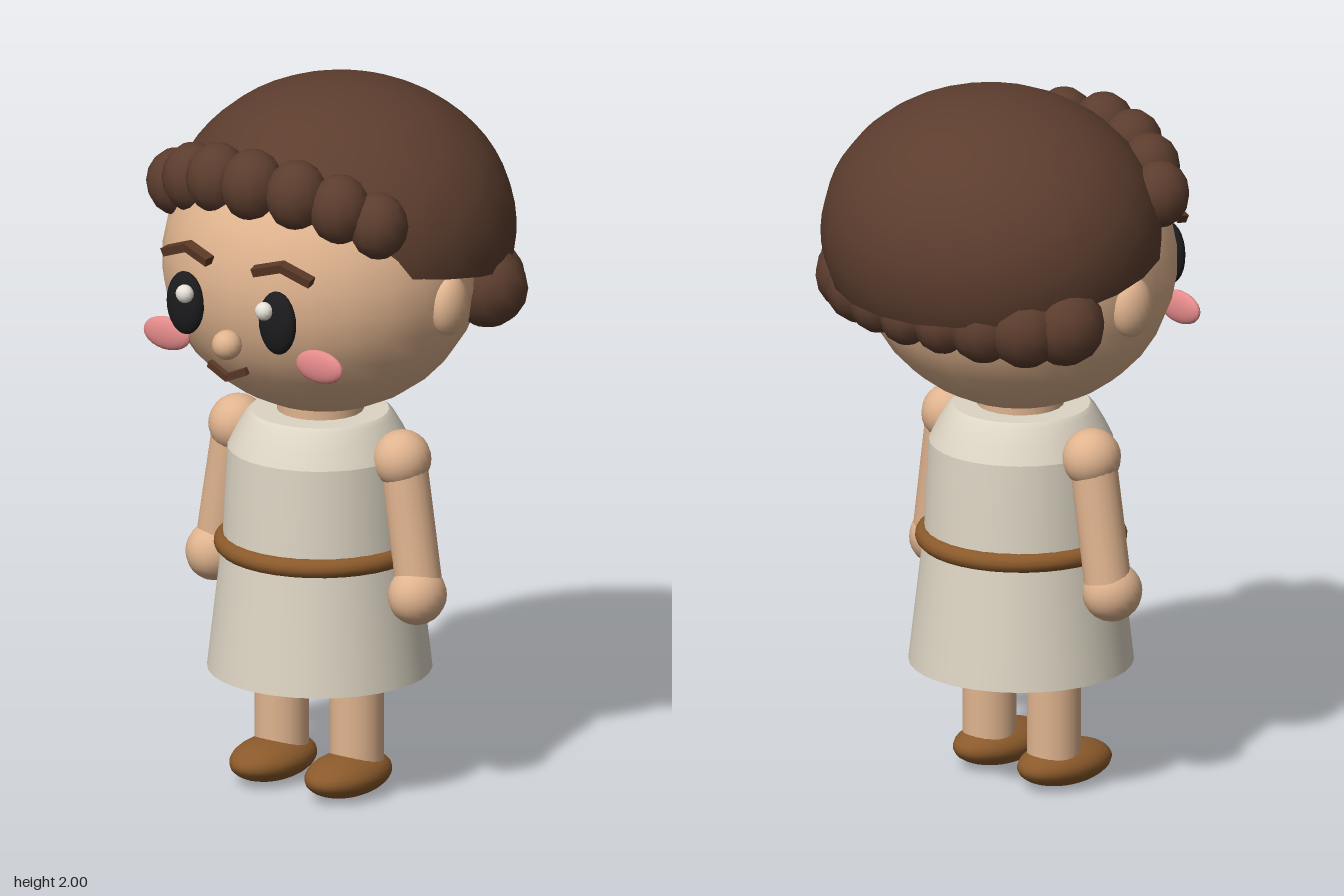
import * as THREE from 'three';

const mat = (name, color) => {
  const m = new THREE.MeshStandardMaterial({ color });
  m.name = name;
  return m;
};

export function createModel() {
  const model = new THREE.Group();
  model.name = 'figure';
  const skin = mat('skin', 0xe0b48f);
  const hair = mat('hair brown', 0x5c3d2e);
  const brow = mat('brow brown', 0x5a3825);
  const cloth = mat('cream cloth', 0xddd5c4);
  const leather = mat('leather', 0x8b5a2b);
  const black = mat('eye black', 0x1c1c1e);
  const white = mat('highlight', 0xf2eee4);
  const pink = mat('blush', 0xe58a8a);
  hair.side = THREE.DoubleSide;

  const add = (name, geometry, material, x = 0, y = 0, z = 0) => {
    const m = new THREE.Mesh(geometry, material);
    m.name = name;
    m.position.set(x, y, z);
    model.add(m);
    return m;
  };
  // Ellipsoid with centre [x, y, z] and radii [rx, ry, rz]
  const ball = (name, material, c, r, seg = 20) =>
    add(name, new THREE.SphereGeometry(1, seg, Math.round(seg * 0.7)).scale(...r), material, ...c);
  // Aligns the y axis of a mesh with the line from a to b
  const between = (name, material, a, b, makeGeometry) => {
    const p = new THREE.Vector3(...a), q = new THREE.Vector3(...b);
    const d = q.clone().sub(p);
    const m = add(name, makeGeometry(d.length()), material);
    m.position.copy(p).add(q).multiplyScalar(0.5);
    m.quaternion.setFromUnitVectors(new THREE.Vector3(0, 1, 0), d.normalize());
    return m;
  };
  const limb = (name, a, b, r0, r1) =>
    between(name, skin, a, b, (l) => new THREE.CylinderGeometry(r1, r0, l, 20));
  const bar = (name, a, b, h, depth) =>
    between(name, brow, a, b, (l) => new THREE.BoxGeometry(h, l + h * 0.4, depth));

  // Head and neck
  ball('head', skin, [0, 1.5, 0.035], [0.45, 0.413, 0.43], 24);
  add('neck', new THREE.CylinderGeometry(0.12, 0.12, 0.14, 20), skin, 0, 1.07, 0.045);
  ball('nose', skin, [0, 1.37, 0.478], [0.042, 0.042, 0.042], 14);

  // Hair cap, cut off along a plane that rises to the front
  const cap = new THREE.SphereGeometry(1, 24, 16, 0, Math.PI * 2, 0, 1.754);
  cap.rotateX(-0.19).scale(0.487, 0.405, 0.46);
  add('hairCap', cap, hair, 0, 1.595, -0.06);

  // Fringe curls: x, y, z, radius
  const fringe = [
    [0, 1.8, 0.36, 0.09],
    [0.135, 1.79, 0.338, 0.088],
    [0.25, 1.76, 0.295, 0.087],
    [0.345, 1.718, 0.245, 0.083],
  ];
  for (const [x, y, z, r] of fringe)
    for (const s of x ? [1, -1] : [1])
      ball('fringeCurl', hair, [s * x, y, z], [r, r * 1.13, r], 12);

  // Curls round the back, larger towards the ears
  const napeRadius = [0.075, 0.08, 0.095, 0.108, 0.112];
  for (let i = -4; i <= 4; i++) {
    const a = THREE.MathUtils.degToRad(i * 17), r = napeRadius[Math.abs(i)];
    ball('napeCurl', hair,
      [0.44 * Math.sin(a), 1.42 + Math.abs(i) * 0.007, -0.05 - 0.335 * Math.cos(a)],
      [r, r, r], 12);
  }

  // Mouth
  for (const s of [1, -1])
    bar('mouth', [s * 0.06, 1.303, 0.472], [0, 1.277, 0.478], 0.02, 0.016);

  for (const s of [1, -1]) {
    // Face
    ball('ear', skin, [s * 0.44, 1.457, 0.048], [0.047, 0.085, 0.066]);
    ball('eye', black, [s * 0.157, 1.457, 0.457], [0.06, 0.09, 0.03]);
    ball('eyeHighlight', white, [s * 0.135, 1.495, 0.49], [0.026, 0.026, 0.024], 12);
    ball('cheek', pink, [s * 0.26, 1.336, 0.402], [0.079, 0.047, 0.02]);
    bar('eyebrow', [s * 0.245, 1.583, 0.425], [s * 0.16, 1.615, 0.44], 0.024, 0.03);
    bar('eyebrow', [s * 0.16, 1.615, 0.44], [s * 0.08, 1.592, 0.455], 0.024, 0.03);

    // Arms
    ball('shoulder', skin, [s * 0.28, 0.985, 0.048], [0.08, 0.082, 0.083]);
    limb('arm', [s * 0.285, 0.985, 0.048], [s * 0.342, 0.63, 0.052], 0.065, 0.065);
    ball('hand', skin, [s * 0.345, 0.61, 0.065], [0.079, 0.083, 0.086]);

    // Legs and shoes
    limb('leg', [s * 0.128, 0.4, 0.05], [s * 0.128, 0.08, 0.05], 0.075, 0.075);
    ball('shoe', leather, [s * 0.128, 0.063, 0.09], [0.1, 0.06, 0.153], 24);
  }

  // Tunic: bodice above the belt, flared skirt below
  const lathe = (points) =>
    new THREE.LatheGeometry(points.map(([r, y]) => new THREE.Vector2(r, y)), 32);
  add('bodice', lathe([[0.268, 0.69], [0.262, 0.83], [0.254, 0.975]]), cloth, 0, 0, 0.048);
  add('bodiceTop', lathe([[0.254, 0.975], [0.232, 1.02], [0.204, 1.068], [0.19, 1.08]]), cloth, 0, 0, 0.048);
  add('collar', lathe([[0.19, 1.08], [0, 1.08]]), cloth, 0, 0, 0.048);
  add('skirt', lathe([[0.31, 0.34], [0.268, 0.71]]), cloth, 0, 0, 0.048);
  add('skirtBase', lathe([[0, 0.34], [0.31, 0.34]]), cloth, 0, 0, 0.048);
  add('belt', new THREE.TorusGeometry(0.265, 0.027, 12, 36).rotateX(Math.PI / 2), leather, 0, 0.7, 0.048);

  return model;
}
